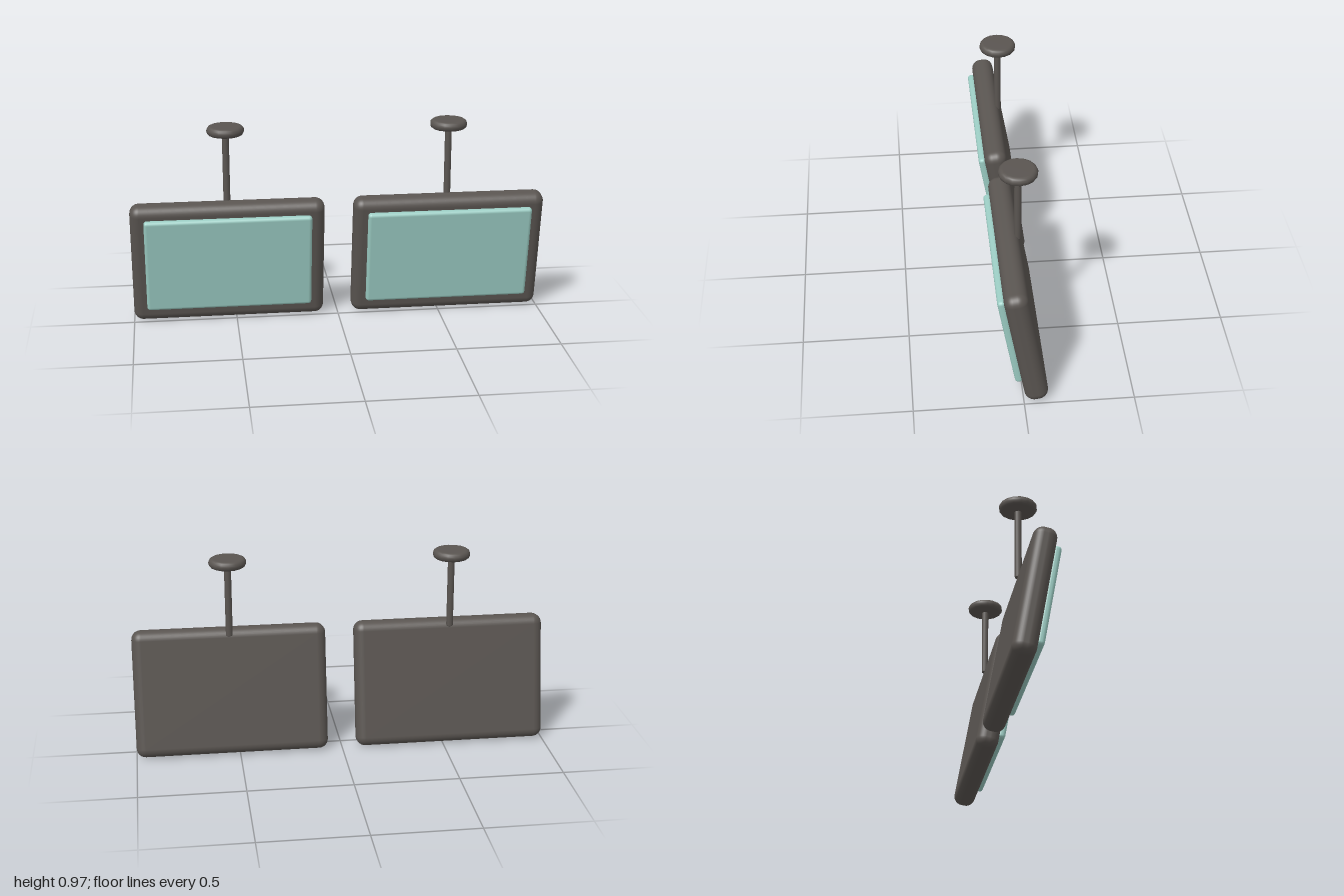
import * as THREE from 'three';
import { RoundedBoxGeometry } from 'three/addons/geometries/RoundedBoxGeometry.js';

const SPACING = 0.533;
const TILT = THREE.MathUtils.degToRad(10);
const POLE_Z = -0.011;

// Solid disc or rod with rounded rims, running from y0 to y1
function roundedCylinder(radius, y0, y1, bevel, sides, steps) {
  const points = [new THREE.Vector2(0, y0)];
  for (const [centerY, start] of [[y0 + bevel, -Math.PI / 2], [y1 - bevel, 0]]) {
    for (let i = 0; i <= steps; i++) {
      const a = start + (i / steps) * Math.PI / 2;
      points.push(new THREE.Vector2(radius - bevel + bevel * Math.cos(a), centerY + bevel * Math.sin(a)));
    }
  }
  points.push(new THREE.Vector2(0, y1));
  return new THREE.LatheGeometry(points, sides);
}

export function createModel() {
  const model = new THREE.Group();
  const casing = new THREE.MeshStandardMaterial({ color: 0x5a5551 });
  const glass = new THREE.MeshStandardMaterial({ color: 0x9ccdc4 });

  const add = (parent, name, geometry, material) => {
    const mesh = new THREE.Mesh(geometry, material);
    mesh.name = name;
    parent.add(mesh);
    return mesh;
  };

  const housingGeometry = new RoundedBoxGeometry(0.93, 0.62, 0.108, 5, 0.045);
  const screenGeometry = new RoundedBoxGeometry(0.8, 0.485, 0.037, 3, 0.016);
  const poleGeometry = roundedCylinder(0.0165, 0.588, 0.945, 0.005, 12, 2);
  const plateGeometry = roundedCylinder(0.089, 0.932, 0.976, 0.02, 16, 4);

  for (const side of [-1, 1]) {
    const monitor = new THREE.Group();
    monitor.name = side < 0 ? 'rightMonitor' : 'leftMonitor';
    monitor.position.x = side * (SPACING + 0.002);
    model.add(monitor);

    // Display panel leaning forward at the top
    const panel = new THREE.Group();
    panel.name = 'panel';
    panel.position.set(0, 0.309, -0.011);
    panel.rotation.x = TILT;
    monitor.add(panel);
    add(panel, 'housing', housingGeometry, casing);
    add(panel, 'screen', screenGeometry, glass).position.set(0, 0.0135, 0.0665);

    // Ceiling mount
    add(monitor, 'pole', poleGeometry, casing).position.z = POLE_Z;
    add(monitor, 'ceilingPlate', plateGeometry, casing).position.z = POLE_Z;
  }
  return model;
}
